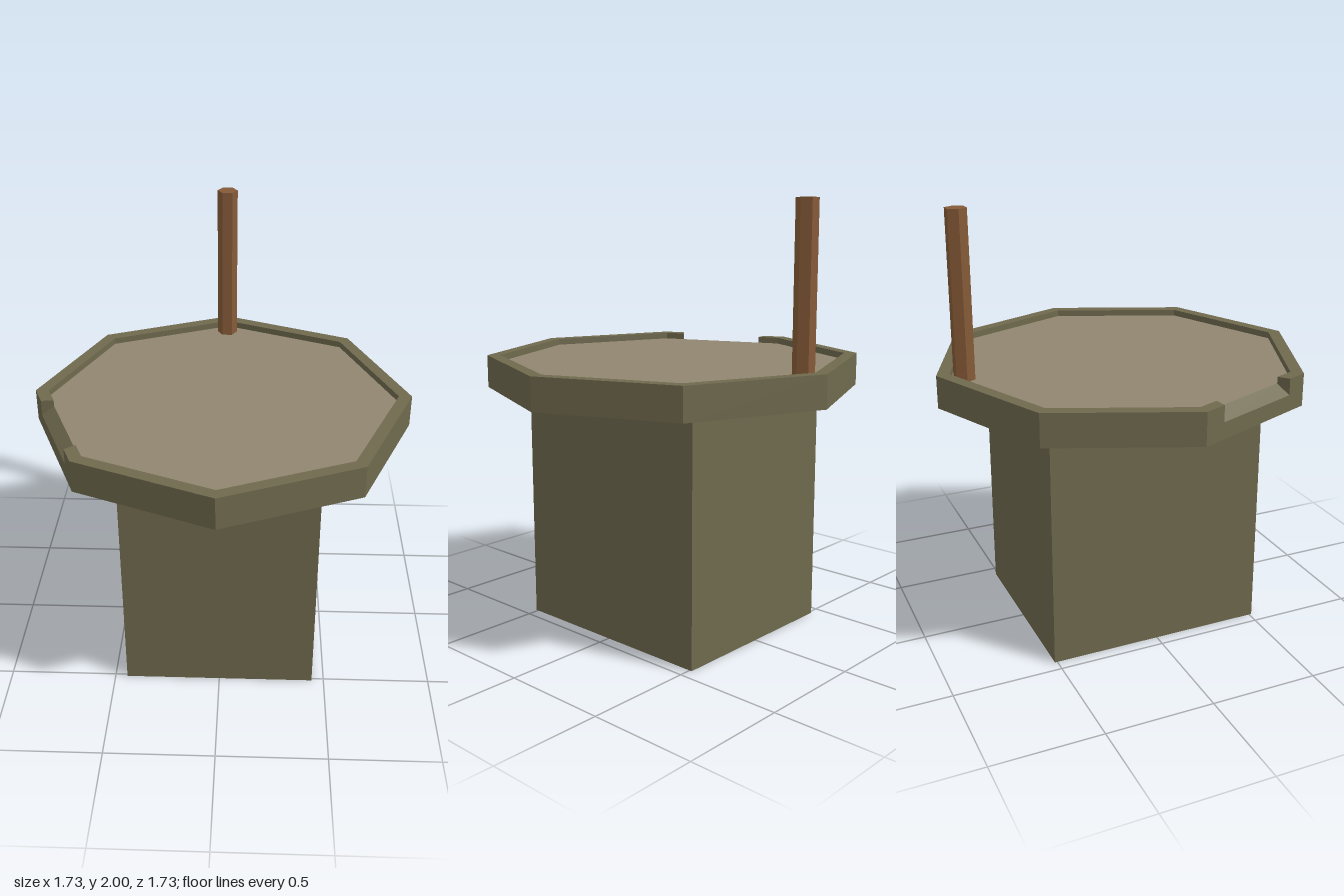
import * as THREE from 'three';

const OUTER = 0.867, INNER = 0.807;
const BOTTOM = 1.13, TOP = 1.28, FLOOR_TOP = 1.25, FLOOR_BOTTOM = 1.14;

const flat = (name, color) => {
  const m = new THREE.MeshStandardMaterial({ color });
  m.name = name;
  return m;
};

// Point on an octagon: side number plus a fraction along that side
function octagonPoint(radius, side, t, y) {
  const corner = (k) => {
    const a = (k * Math.PI) / 4;
    return new THREE.Vector3(radius * Math.sin(a), y, radius * Math.cos(a));
  };
  return corner(side).lerp(corner(side + 1), t);
}

// Octagonal ring swept from cross-sections, with a sloping notch cut in one side
function rimGeometry() {
  const sections = [];
  const add = (side, t, outerTop = TOP, innerTop = TOP) => sections.push([
    octagonPoint(OUTER, side, t, BOTTOM),
    octagonPoint(OUTER, side, t, outerTop),
    octagonPoint(INNER, side, t, innerTop),
    octagonPoint(INNER, side, t, BOTTOM),
  ]);
  for (let side = 0; side < 8; side++) {
    add(side, 0);
    if (side === 6) {
      add(side, 0.165);
      add(side, 0.165, 1.205, FLOOR_TOP);
      add(side, 0.845, 1.205, FLOOR_TOP);
      add(side, 0.845);
    }
  }
  const positions = [];
  const triangle = (a, b, c) => {
    if (new THREE.Triangle(a, b, c).getArea() < 1e-7) return;
    for (const p of [a, b, c]) positions.push(p.x, p.y, p.z);
  };
  sections.forEach((s, i) => {
    const n = sections[(i + 1) % sections.length];
    for (let j = 0; j < 4; j++) {
      const k = (j + 1) % 4;
      triangle(s[j], n[j], n[k]);
      triangle(s[j], n[k], s[k]);
    }
  });
  const g = new THREE.BufferGeometry();
  g.setAttribute('position', new THREE.Float32BufferAttribute(positions, 3));
  g.computeVertexNormals();
  return g;
}

// Prism with flat-shaded sides standing between two heights
function prism(radius, sides, y0, y1) {
  const g = new THREE.CylinderGeometry(radius, radius, y1 - y0, sides).toNonIndexed();
  g.computeVertexNormals();
  g.translate(0, (y0 + y1) / 2, 0);
  return g;
}

export function createModel() {
  const model = new THREE.Group();
  model.name = 'lookoutPlatform';
  const stone = flat('olive stone', 0x6f694d);
  const deck = flat('pale deck', 0x90866f);
  const wood = flat('brown wood', 0x855a38);

  const add = (name, geometry, material) => {
    const mesh = new THREE.Mesh(geometry, material);
    mesh.name = name;
    model.add(mesh);
    return mesh;
  };

  // Rectangular base block
  const baseHeight = 1.145;
  add('base', new THREE.BoxGeometry(0.886, baseHeight, 1.024), stone).position.y = baseHeight / 2;

  // Octagonal deck and its raised, notched rim
  add('deck', prism(INNER, 8, FLOOR_BOTTOM, FLOOR_TOP), deck);
  add('rim', rimGeometry(), stone);

  // Six-sided pole at the back
  const pole = add('pole', prism(0.049, 6, FLOOR_TOP - 0.01, 2), wood);
  pole.rotation.y = Math.PI / 6;
  pole.position.set(-0.003, 0, -0.742);

  return model;
}
